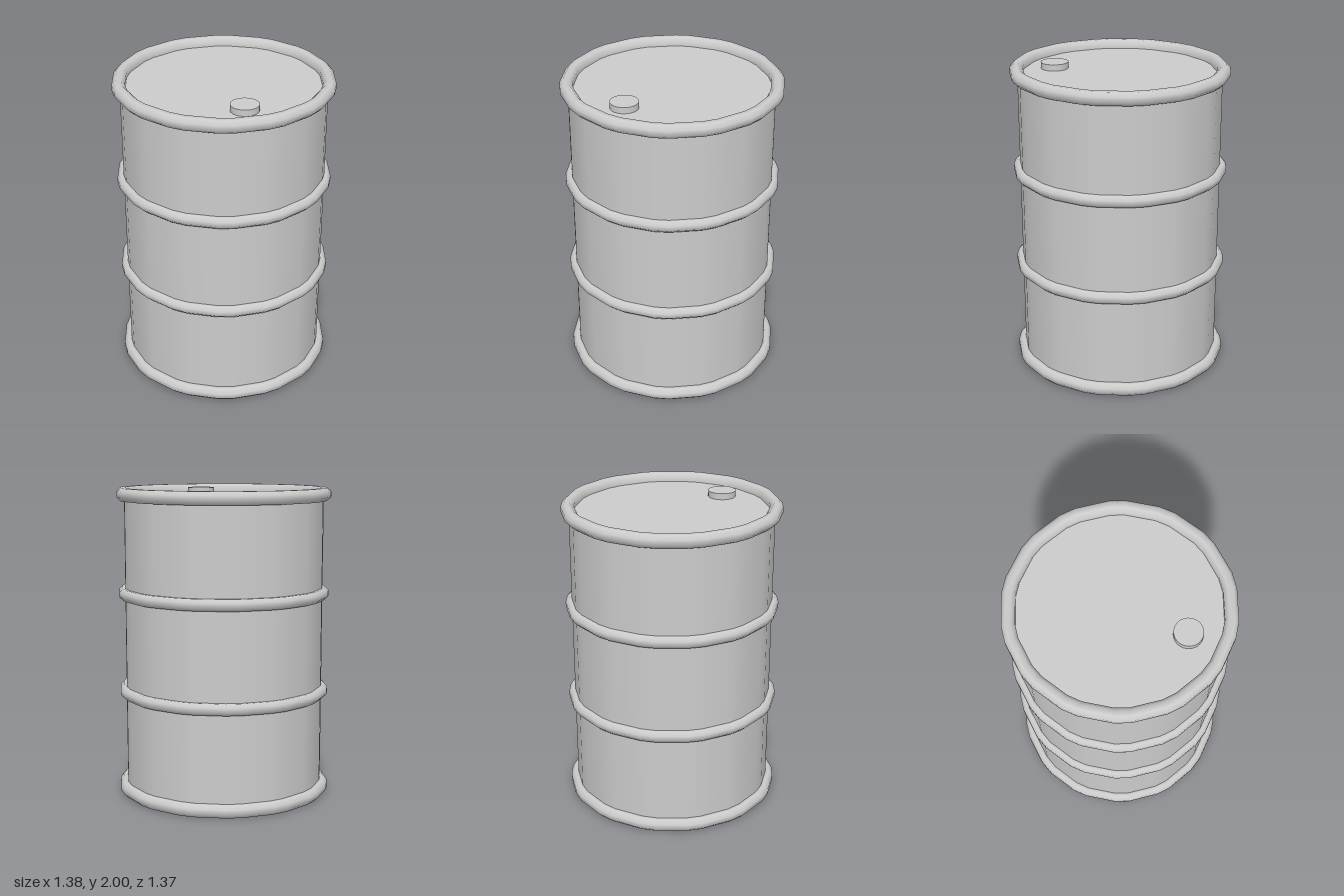
import * as THREE from 'three';

const SIDES = 14;                        // main sides, each corner cut by a narrow facet
const STEP = Math.PI * 2 / SIDES;
const CUT = 4.2 * Math.PI / 180;         // half angle of the narrow facet

const material = new THREE.MeshStandardMaterial({ color: 0xcccccc });

// Revolve an (r, y) profile round a 14-sided outline with cut corners
function revolve(name, profile) {
  const points = profile.map(([r, y]) => new THREE.Vector2(r, y));
  const geometry = new THREE.LatheGeometry(points, SIDES * 2, STEP / 4);
  const p = geometry.attributes.position;
  for (let i = 0; i < p.count; i++) {
    const r = Math.hypot(p.getX(i), p.getZ(i));
    const angle = Math.atan2(p.getZ(i), p.getX(i));
    const corner = Math.round(angle / STEP) * STEP;
    const a = corner + Math.sign(angle - corner) * CUT;
    p.setXYZ(i, r * Math.cos(a), p.getY(i), r * Math.sin(a));
  }
  const mesh = new THREE.Mesh(geometry, material);
  mesh.name = name;
  return mesh;
}

// Eight-sided tube bent into a hoop
function hoop(name, y, radius, tube) {
  const profile = [];
  const k = tube / Math.cos(Math.PI / 8);
  for (let i = 0; i <= 8; i++) {
    const a = -Math.PI + Math.PI / 8 + i * Math.PI / 4;
    profile.push([radius + k * Math.cos(a), y + k * Math.sin(a)]);
  }
  return revolve(name, profile);
}

export function createModel() {
  const drum = new THREE.Group();
  drum.name = 'drum';

  // Wall and recessed ends
  drum.add(revolve('wall', [[0.645, 0.03], [0.645, 1.95]]));
  drum.add(revolve('lid', [[0.645, 1.945], [0, 1.945]]));
  drum.add(revolve('base', [[0, 0.03], [0.645, 0.03]]));

  // End rims and the two rolling hoops
  drum.add(hoop('topRim', 1.959, 0.652, 0.041));
  drum.add(hoop('upperHoop', 1.324, 0.648, 0.037));
  drum.add(hoop('lowerHoop', 0.684, 0.648, 0.037));
  drum.add(hoop('bottomRim', 0.043, 0.652, 0.041));

  // Bung cap on the lid
  const bung = new THREE.Mesh(new THREE.CylinderGeometry(0.088, 0.088, 0.05, 32), material);
  bung.name = 'bungCap';
  bung.position.set(0.345, 1.96, 0.25);
  drum.add(bung);

  return drum;
}
